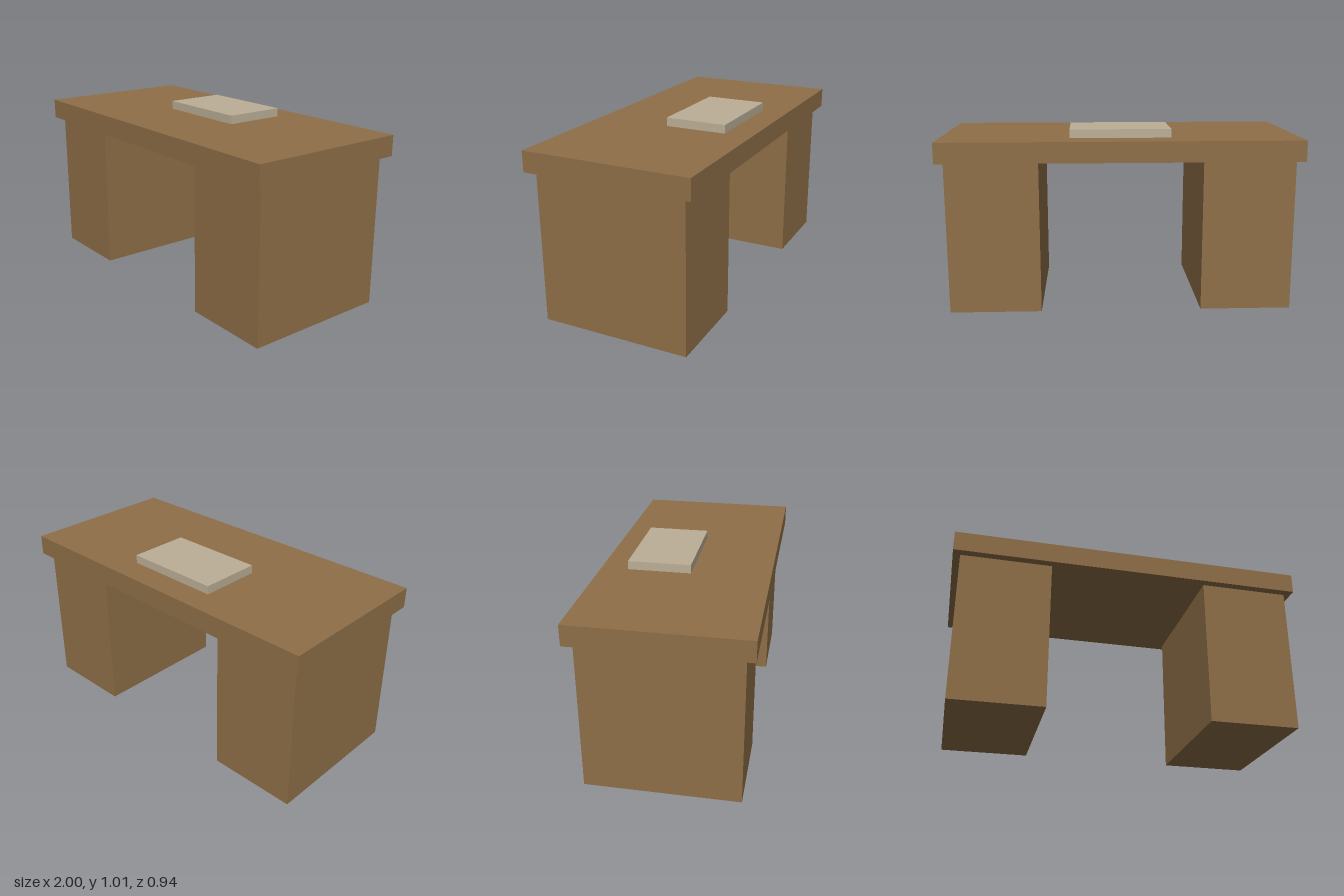
import * as THREE from 'three';

const wood = new THREE.MeshStandardMaterial({ color: 0x8f6f48 });
wood.name = 'brown wood';
const paper = new THREE.MeshStandardMaterial({ color: 0xbbaf97 });
paper.name = 'pale beige';

// Box given by its size and the centre of its underside
function block(name, [w, h, d], [x, y, z], material) {
  const mesh = new THREE.Mesh(new THREE.BoxGeometry(w, h, d), material);
  mesh.name = name;
  mesh.position.set(x, y + h / 2, z);
  return mesh;
}

export function createModel() {
  const desk = new THREE.Group();
  desk.name = 'desk';

  // Pedestals, mirrored left and right
  for (const [side, name] of [[1, 'leftPedestal'], [-1, 'rightPedestal']]) {
    desk.add(block(name, [0.51, 0.85, 0.844], [side * 0.705, 0, 0], wood));
  }

  // Overhanging top
  desk.add(block('desktop', [2, 0.115, 0.938], [0, 0.85, 0], wood));

  // Flat pad lying towards the back
  desk.add(block('deskPad', [0.563, 0.048, 0.352], [0, 0.965, -0.141], paper));

  return desk;
}
